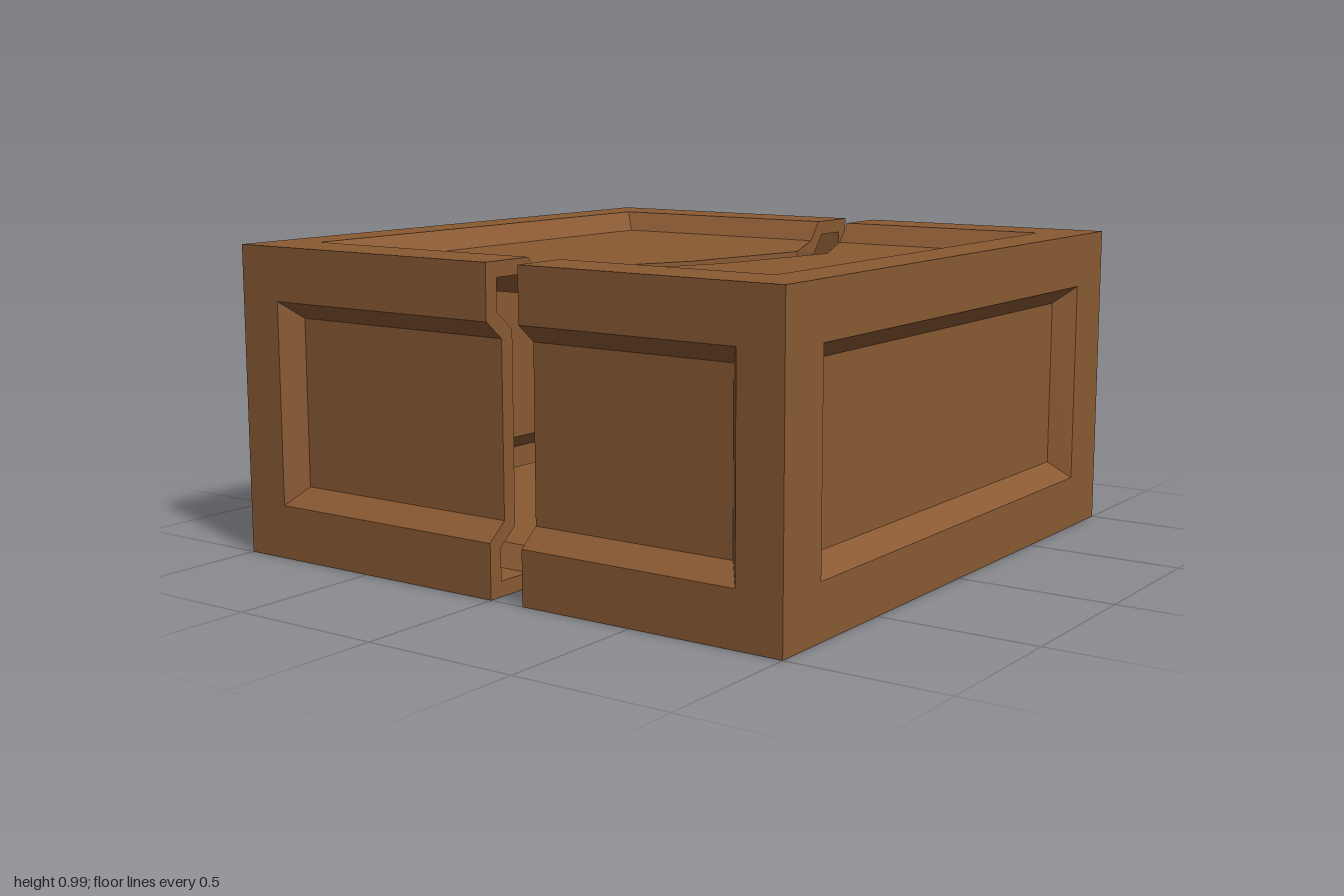
import * as THREE from 'three';

const H = 0.985, MID = H / 2;      // box height and its middle
const WALL = 0.047, MITRE = 0.023; // shell thickness and the bevel shift it causes
const DEPTH = 0.065;               // how far each panel is sunk
const GAP = 0.118;                 // distance between the two halves

// Zigzag line of the break, as [x, z] on the front half
const BREAK = [[-0.76, 0.118], [-0.44, 0.035], [-0.1, 0.198], [0.38, 0.296], [0.76, 0.118]];

function breakZ(x) {
  for (let i = 0; i < BREAK.length - 1; i++) {
    const [x0, z0] = BREAK[i], [x1, z1] = BREAK[i + 1];
    if (x >= x0 && x <= x1) return z0 + (z1 - z0) * (x - x0) / (x1 - x0);
  }
  return 0.118;
}

// Cross-section of the box, counter-clockwise, with sunk or flat panels.
// inset moves the faces inwards, shift moves the bevels outwards.
function section(sunk, inset, shift) {
  const w = 1 - inset, h = MID - inset;
  const ox = 0.81 + shift, oy = 0.3225 + shift; // outer edge of the bevel
  const ix = sunk ? 0.76 + shift : ox, iy = sunk ? 0.2675 + shift : oy;
  const d = sunk ? DEPTH : 0;
  const mids = BREAK.slice(1, -1).map(p => p[0]);
  const right = [[w, -h], [w, -oy], [w - d, -iy], [w - d, iy], [w, oy], [w, h]];
  const top = [[ox, h], [ix, h - d], ...[...mids].reverse().map(x => [x, h - d]), [-ix, h - d], [-ox, h]];
  const left = right.map(([x, y]) => [-x, -y]);
  const bottom = [[-ox, -h], [-ix, -h + d], ...mids.map(x => [x, -h + d]), [ix, -h + d], [ox, -h]];
  return [...right, ...top, ...left, ...bottom];
}

// Rings of one skin, from the break to the middle of the end panel
function skin(side, inset, shift) {
  const sunk = section(true, inset, shift), flat = section(false, inset, shift);
  const at = (ring, z) => ring.map(([x, y]) => new THREE.Vector3(x, y + MID, side * z));
  const clamp = (mx, my) => flat.map(([x, y]) => [
    THREE.MathUtils.clamp(x, -mx, mx), THREE.MathUtils.clamp(y, -my, my)]);
  const end = 1 - inset;
  return [
    sunk.map(([x, y]) => new THREE.Vector3(x, y + MID, breakZ(x) - (side < 0 ? GAP : 0))),
    at(sunk, 0.80 + shift),
    at(flat, 0.85 + shift),
    at(flat, end),
    at(clamp(0.81 + shift, 0.3225 + shift), end),
    at(clamp(0.76 + shift, 0.2675 + shift), end - DEPTH),
    at(clamp(0.76 + shift, 0), end - DEPTH),
  ];
}

// Joins the rings into flat-shaded faces, leaving out collapsed triangles
function loft(rings, flip) {
  const pos = [];
  const tri = new THREE.Triangle();
  const add = (a, b, c) => {
    if (tri.set(a, b, c).getArea() < 1e-8) return;
    for (const v of flip ? [a, c, b] : [a, b, c]) pos.push(v.x, v.y, v.z);
  };
  for (let k = 0; k < rings.length - 1; k++) {
    const r = rings[k], s = rings[k + 1], n = r.length;
    for (let i = 0; i < n; i++) {
      const j = (i + 1) % n;
      add(r[i], r[j], s[j]);
      add(r[i], s[j], s[i]);
    }
  }
  const geo = new THREE.BufferGeometry();
  geo.setAttribute('position', new THREE.Float32BufferAttribute(pos, 3));
  geo.computeVertexNormals();
  return geo;
}

export function createModel() {
  const group = new THREE.Group();
  group.name = 'brokenCrate';
  const wood = new THREE.MeshStandardMaterial({ color: 0x8a5a33, flatShading: true });

  // Each half is a hollow shell: inner skin, broken rim, outer skin
  for (const [name, side] of [['frontHalf', 1], ['backHalf', -1]]) {
    const rings = [...skin(side, WALL, MITRE).reverse(), ...skin(side, 0, 0)];
    const half = new THREE.Mesh(loft(rings, side < 0), wood);
    half.name = name;
    group.add(half);
  }
  return group;
}
